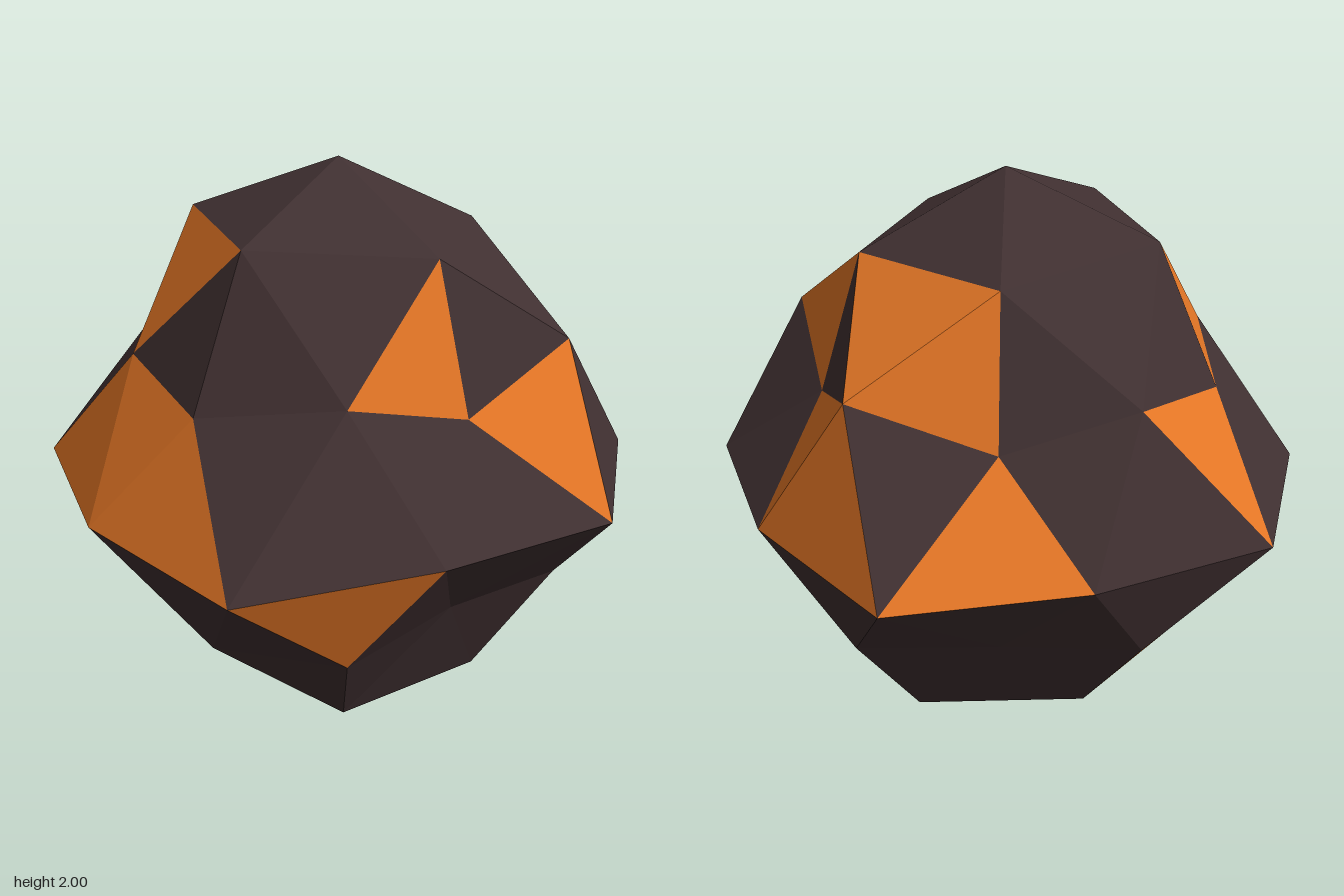
import * as THREE from 'three';

const CENTRE = 1.029;

// Rings of a once-divided icosahedron: unit height, unit radius, start angle
// (degrees), then how far each point is pushed out from the centre.
const RINGS = {
  A: [0.8507, 0.5257, 0, [0.875, 0.89, 0.932, 0.926, 0.875]],
  B: [0.4472, 0.8944, 0, [0.676, 0.69, 0.817, 0.774, 0.714]],
  C: [0.5257, 0.8507, 36, [0.868, 0.808, 0.79, 0.81, 0.873]],
  Q: [0, 1, 18, [0.958, 0.986, 0.878, 1.062, 0.94, 0.961, 1.0, 0.89, 1.024, 0.908]],
  D: [-0.4472, 0.8944, 36, [0.842, 0.845, 0.804, 0.837, 0.85]],
  E: [-0.5257, 0.8507, 0, [0.686, 0.682, 0.82, 0.85, 0.71]],
  F: [-0.8507, 0.5257, 36, [0.94, 0.898, 0.845, 0.893, 0.918]],
};

// Which of the sixteen facets in each fifth of the rock glow
const EMBER = [
  [1, 6, 11, 15],
  [1, 7],
  [2, 3, 4, 5, 8],
  [4, 9, 10, 13, 14],
  [1, 2, 5, 6, 8, 15],
];

function ringPoint(name, k) {
  const [h, r, start, radii] = RINGS[name];
  const n = radii.length;
  const i = (k + n) % n;
  const a = THREE.MathUtils.degToRad(start + (360 / n) * i);
  return new THREE.Vector3(r * Math.cos(a), h, r * Math.sin(a)).multiplyScalar(radii[i]);
}

// Facets of one fifth, from the top point down to the bottom point
function sectorFacets(i) {
  const top = new THREE.Vector3(0, 2 - CENTRE, 0);
  const bottom = new THREE.Vector3(0, -CENTRE, 0);
  const A = ringPoint('A', i), A2 = ringPoint('A', i + 1);
  const B = ringPoint('B', i), B2 = ringPoint('B', i + 1);
  const C = ringPoint('C', i);
  const Q0 = ringPoint('Q', 2 * i - 1), Q = ringPoint('Q', 2 * i), Q2 = ringPoint('Q', 2 * i + 1);
  const D0 = ringPoint('D', i - 1), D = ringPoint('D', i);
  const E = ringPoint('E', i);
  const F0 = ringPoint('F', i - 1), F = ringPoint('F', i);
  return [
    [top, A, A2], [A, B, C], [A, C, A2], [A2, C, B2],
    [B, C, Q], [C, Q, Q2], [C, B2, Q2], [Q, Q2, D],
    [B, Q0, Q], [Q0, D0, E], [Q0, Q, E], [Q, E, D],
    [D0, E, F0], [E, F0, F], [E, D, F], [bottom, F0, F],
  ];
}

// Flat facets, each turned to face outwards
function facetMesh(name, facets, material) {
  const points = [];
  for (const [a, b, c] of facets) {
    const normal = b.clone().sub(a).cross(c.clone().sub(a));
    points.push(...(normal.dot(a) > 0 ? [a, b, c] : [a, c, b]));
  }
  const geometry = new THREE.BufferGeometry().setFromPoints(points);
  geometry.translate(0, CENTRE, 0);
  geometry.computeVertexNormals();
  const mesh = new THREE.Mesh(geometry, material);
  mesh.name = name;
  return mesh;
}

export function createModel() {
  const stone = new THREE.MeshStandardMaterial({ color: 0x403031 });
  stone.name = 'darkStone';
  const ember = new THREE.MeshStandardMaterial({ color: 0xe27525 });
  ember.name = 'emberOrange';

  const stoneFacets = [];
  const emberFacets = [];
  for (let i = 0; i < 5; i++) {
    sectorFacets(i).forEach((facet, f) => {
      (EMBER[i].includes(f) ? emberFacets : stoneFacets).push(facet);
    });
  }

  const rock = new THREE.Group();
  rock.name = 'emberRock';
  rock.add(facetMesh('stoneFacets', stoneFacets, stone));
  rock.add(facetMesh('emberFacets', emberFacets, ember));
  return rock;
}
